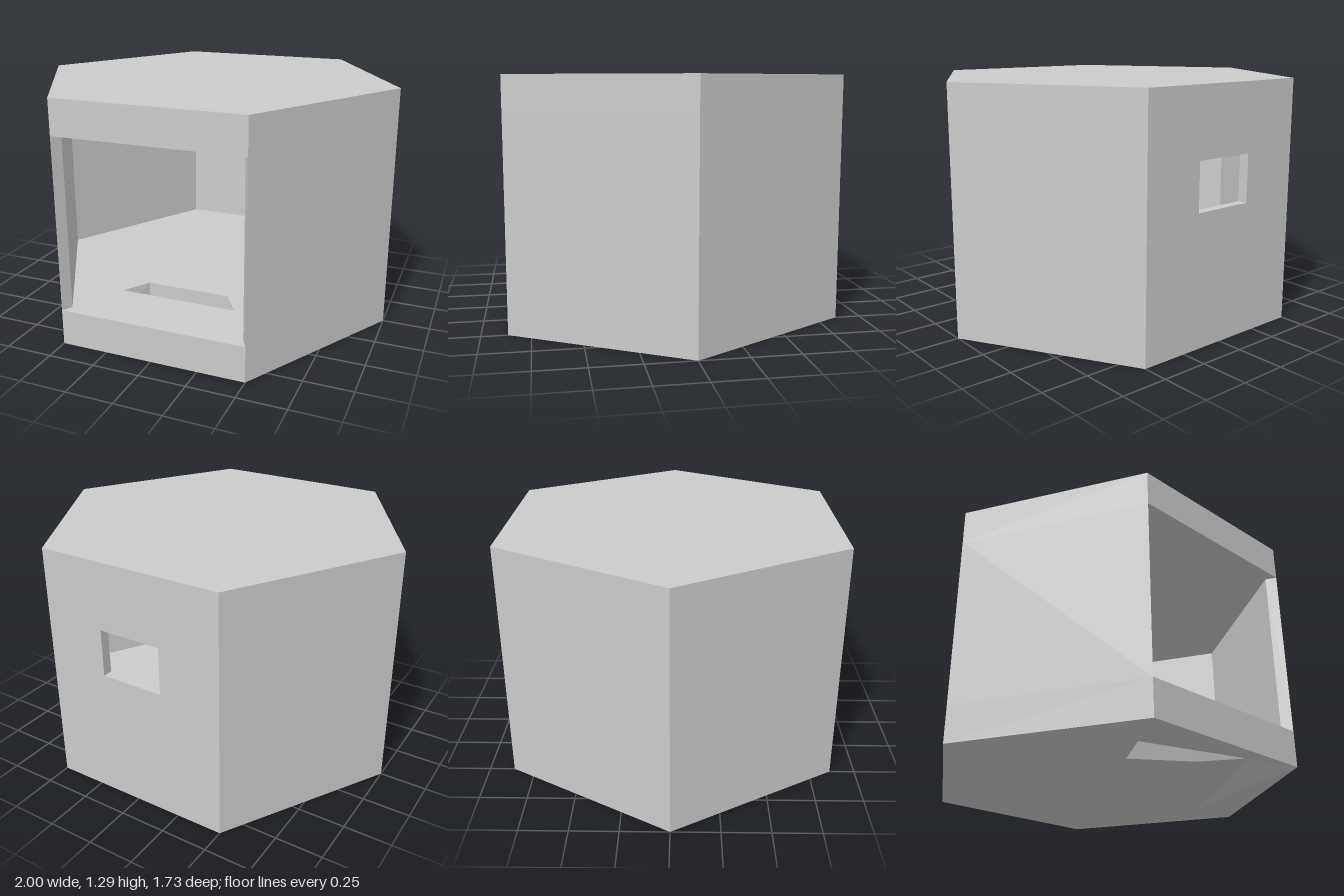
import * as THREE from 'three';

const FLOOR = 0.19, CEILING = 1.11, HEIGHT = 1.295, INNER = 0.94;
const APOTHEM = Math.sqrt(3) / 2;

// Corner k of a hexagon of radius r; k = 1 and 2 are the front corners
const corner = (r, k, y = 0) =>
  [r * Math.cos(k * Math.PI / 3), y, r * Math.sin(k * Math.PI / 3)];

// Flat-shaded geometry from convex polygons
function facets(polygons) {
  const pos = [];
  for (const p of polygons)
    for (let i = 1; i < p.length - 1; i++) pos.push(...p[0], ...p[i], ...p[i + 1]);
  const g = new THREE.BufferGeometry();
  g.setAttribute('position', new THREE.Float32BufferAttribute(pos, 3));
  g.computeVertexNormals();
  return g;
}

// Shape in plan from [x, z] points, to be laid flat by rotateX(-PI / 2)
const plan = pts => new THREE.Shape(pts.map(([x, z]) => new THREE.Vector2(x, -z)));

export function createModel() {
  const model = new THREE.Group();
  const material = new THREE.MeshStandardMaterial({
    color: 0xcccccc, flatShading: true, side: THREE.DoubleSide,
  });
  const add = (parent, name, geometry) => {
    const mesh = new THREE.Mesh(geometry, material);
    mesh.name = name;
    parent.add(mesh);
    return mesh;
  };

  // Roof slab
  const roof = new THREE.CylinderGeometry(1, 1, HEIGHT - CEILING, 6, 1, false, Math.PI / 6);
  add(model, 'roof', roof.translate(0, (HEIGHT + CEILING) / 2, 0));

  // Floor slab with a trapezoid slot near the front
  const base = new THREE.Group();
  base.name = 'base';
  model.add(base);
  const rim = new THREE.CylinderGeometry(1, 1, FLOOR, 6, 1, true, Math.PI / 6);
  add(base, 'baseRim', rim.translate(0, FLOOR / 2, 0));

  const slotTop = [[0.32, 0.54], [0.23, 0.4], [-0.23, 0.4], [-0.32, 0.54]];
  const floorShape = plan([0, 1, 2, 3, 4, 5].map(k => {
    const [x, , z] = corner(1, k);
    return [x, z];
  }));
  floorShape.holes.push(plan(slotTop));
  const floor = new THREE.ShapeGeometry(floorShape).rotateX(-Math.PI / 2);
  add(base, 'floor', floor.translate(0, FLOOR, 0));

  // Underside: three hexagon rings, with one end of the slot lifted a little
  const outer = [], mid = [], inner = [];
  for (let k = 0; k < 6; k++) {
    outer.push(corner(1, k));
    mid.push(corner(0.71, k));
    inner.push(corner(0.46, k));
  }
  mid[1] = [0.42, 0.09, 0.62];
  inner[1] = [0.275, 0.096, 0.4];
  const under = [
    [inner[1], inner[5], inner[0]],
    [inner[1], inner[2], inner[5]],
    [inner[2], inner[3], inner[4], inner[5]],
  ];
  for (let k = 0; k < 6; k++) {
    const n = (k + 1) % 6;
    under.push([mid[k], outer[k], outer[n], mid[n]]);
    if (k !== 1) under.push([inner[k], mid[k], mid[n], inner[n]]);
  }
  add(base, 'underside', facets(under));

  // Slot walls joining the floor to the underside
  const low = [mid[1], inner[1], inner[2], mid[2]];
  const high = slotTop.map(([x, z]) => [x, FLOOR, z]);
  add(base, 'slotWalls', facets(low.map((p, i) => {
    const n = (i + 1) % 4;
    return [low[n], p, high[i], high[n]];
  })));

  // Side walls, mitred at the corners; the front side stays open
  const wallHeight = CEILING - FLOOR;
  for (const k of [0, 2, 3, 5]) {
    const foot = [corner(1, k), corner(1, k + 1), corner(INNER, k + 1), corner(INNER, k)];
    const wall = new THREE.ExtrudeGeometry(plan(foot.map(([x, , z]) => [x, z])),
      { depth: wallHeight, bevelEnabled: false });
    add(model, 'sideWall', wall.rotateX(-Math.PI / 2).translate(0, FLOOR, 0));
  }

  // Back wall with a window
  const rect = (Type, x, y0, y1) => new Type([[-x, y0], [x, y0], [x, y1], [-x, y1]]
    .map(p => new THREE.Vector2(...p)));
  const backShape = rect(THREE.Shape, 0.5, FLOOR, CEILING);
  backShape.holes.push(rect(THREE.Path, 0.17, 0.69, 0.94));
  const back = new THREE.ExtrudeGeometry(backShape,
    { depth: APOTHEM * (1 - INNER), bevelEnabled: false });
  const pos = back.attributes.position;
  for (let i = 0; i < pos.count; i++)
    if (pos.getZ(i) > 0.01 && Math.abs(pos.getX(i)) > 0.4) pos.setX(i, pos.getX(i) * INNER);
  back.computeVertexNormals();
  add(model, 'backWall', back.translate(0, 0, -APOTHEM));

  return model;
}
